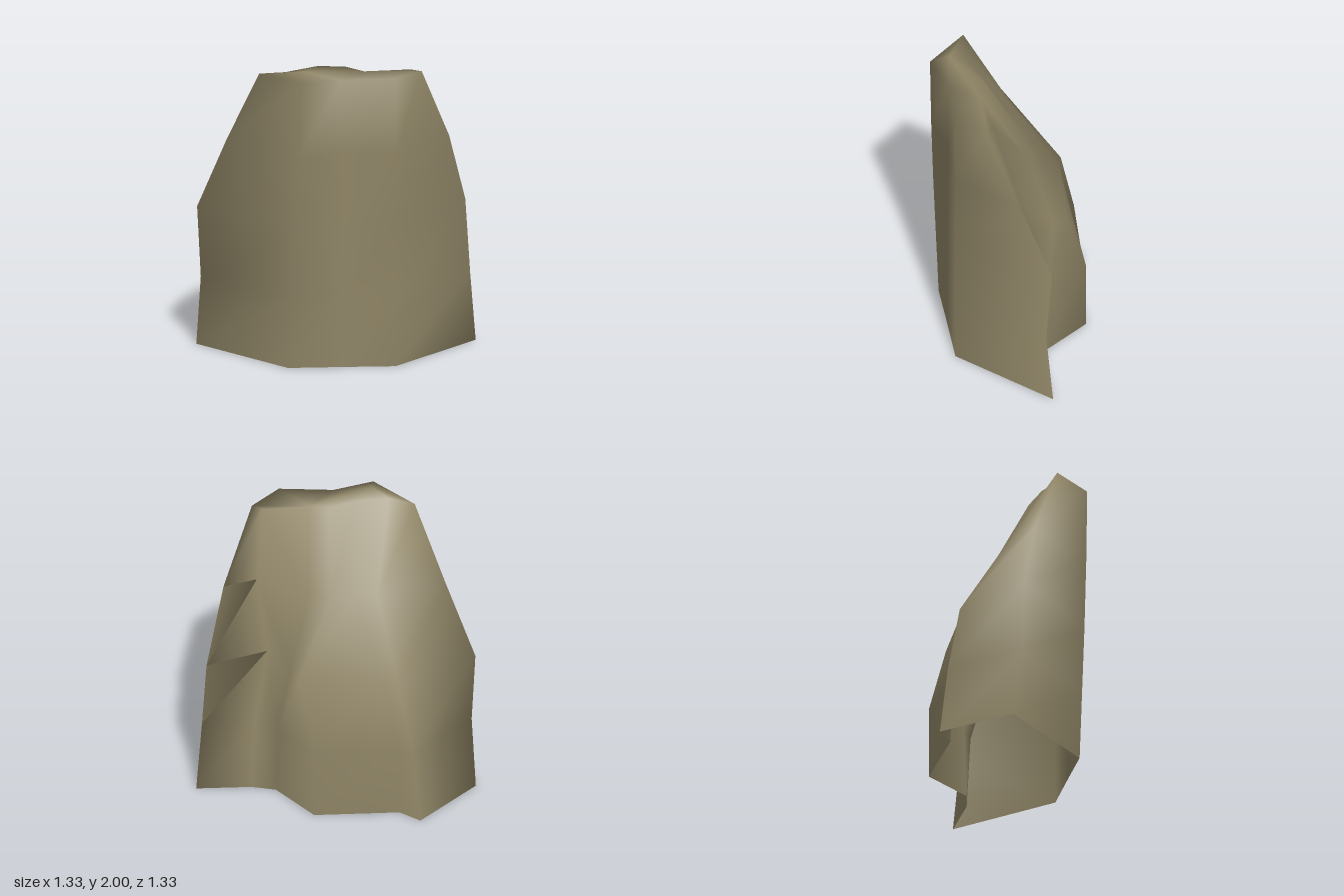
import * as THREE from 'three';

const stone = new THREE.MeshStandardMaterial({ color: 0x8f8566, side: THREE.DoubleSide });
stone.name = 'stone';

// Heights of the four lower cross-sections; the fifth follows the uneven crest.
const heights = [0, 0.48, 0.96, 1.45];

// Each rib runs up the rock: [x, z] at each height, then the crest height.
const ribs = [
  { path: [[0.66, 0.66], [0.605, 0.66], [0.615, 0.61], [0.40, 0.66], [0.13, 0.66]], crest: 1.95 },    // front right corner
  { path: [[0.40, 0.41], [0.37, 0.41], [0.22, 0.44], [0.19, 0.56], [0.115, 0.58]], crest: 1.95 },     // groove
  { path: [[0.315, 0.27], [0.32, 0.25], [0.30, 0.16], [0.105, 0.18], [-0.12, 0.38]], crest: 1.95 },
  { path: [[0.365, -0.115], [0.365, -0.115], [0.335, 0.05], [0.02, 0.06], [-0.17, 0.26]], crest: 1.97 },
  { path: [[-0.04, -0.50], [-0.045, -0.49], [-0.03, -0.36], [-0.10, -0.05], [-0.33, 0.16]], crest: 1.99 },
  { path: [[-0.06, -0.665], [-0.075, -0.59], [-0.08, -0.45], [-0.20, -0.15], [-0.52, 0.05]], crest: 1.97 },
  { path: [[-0.61, -0.645], [-0.64, -0.58], [-0.665, -0.59], [-0.61, -0.38], [-0.61, -0.10]], crest: 1.95 }, // back corner
  { path: [[-0.62, 0.16], [-0.62, 0.19], [-0.62, 0.22], [-0.615, 0.25], [-0.61, 0.27]], crest: 1.96 },
  { path: [[-0.37, 0.41], [-0.37, 0.41], [-0.37, 0.41], [-0.37, 0.40], [-0.37, 0.40]], crest: 1.95 },
  { path: [[-0.125, 0.66], [-0.125, 0.66], [-0.125, 0.66], [-0.125, 0.66], [-0.125, 0.66]], crest: 1.96 }, // front left edge
];
const groove = 1;

function rockGeometry() {
  const n = ribs.length;
  const rows = heights.length + 1;
  const positions = [];
  const index = [];

  for (let row = 0; row < rows; row++) {
    for (const { path, crest } of ribs) {
      const [x, z] = path[row];
      positions.push(x, row < heights.length ? heights[row] : crest, z);
    }
  }
  // Walls between neighbouring cross-sections; the underside stays open.
  // Beside the groove the quads fold along the other diagonal.
  for (let row = 0; row < rows - 1; row++) {
    for (let i = 0; i < n; i++) {
      const a = row * n + i;
      const b = row * n + (i + 1) % n;
      if (i === groove) index.push(a, b, a + n, b, b + n, a + n);
      else index.push(a, b, b + n, a, b + n, a + n);
    }
  }
  // Crest in two lobes, split by the dip from rib 2 to rib 8: a fan to the peak and a flat front lobe.
  const peak = positions.length / 3;
  positions.push(-0.51, 2, 0.19);
  const top = (rows - 1) * n;
  for (let i = 2; i < 8; i++) index.push(top + i, top + i + 1, peak);
  for (const [a, b] of [[8, 9], [9, 0], [0, 1]]) index.push(top + 2, top + a, top + b);
  index.push(top + 8, top + 2, peak);

  const geometry = new THREE.BufferGeometry();
  geometry.setAttribute('position', new THREE.Float32BufferAttribute(positions, 3));
  geometry.setIndex(index);
  geometry.computeVertexNormals();
  return geometry;
}

export function createModel() {
  const group = new THREE.Group();
  group.name = 'rock';
  const body = new THREE.Mesh(rockGeometry(), stone);
  body.name = 'rockBody';
  group.add(body);
  return group;
}
